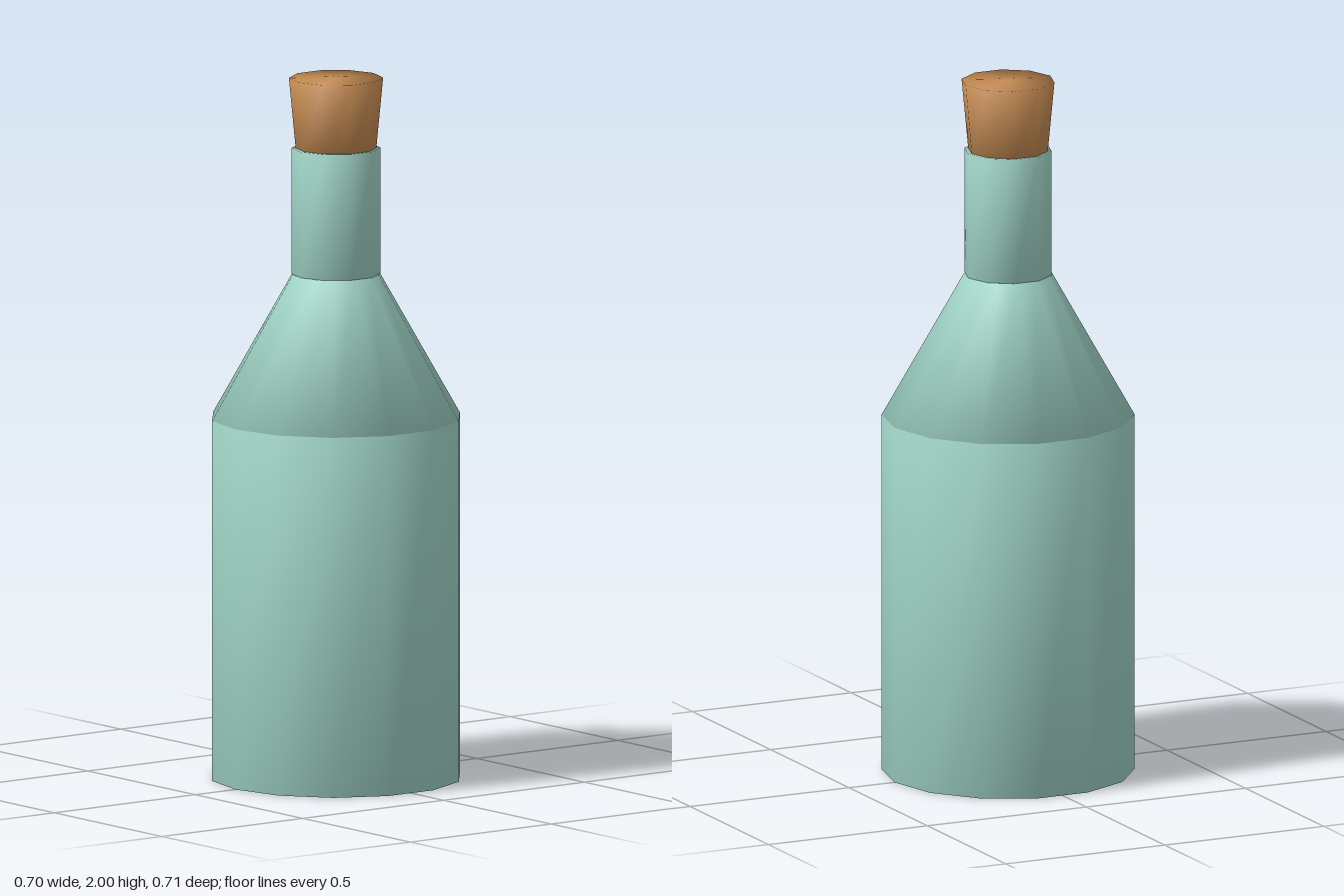
import * as THREE from 'three';
import { mergeVertices } from 'three/addons/utils/BufferGeometryUtils.js';

const glass = new THREE.MeshStandardMaterial({ color: 0xa0d4c6 });
const corkWood = new THREE.MeshStandardMaterial({ color: 0xc68c53 });

// Capped frustum between two heights, with normals smoothed across the rims
function frustum(name, bottomRadius, topRadius, y0, y1, sides, material) {
  let geometry = new THREE.CylinderGeometry(topRadius, bottomRadius, y1 - y0, sides);
  geometry.deleteAttribute('uv');
  geometry.deleteAttribute('normal');
  geometry = mergeVertices(geometry, 1e-4);
  geometry.computeVertexNormals();
  geometry.translate(0, (y0 + y1) / 2, 0);
  const mesh = new THREE.Mesh(geometry, material);
  mesh.name = name;
  return mesh;
}

export function createModel() {
  const bottle = new THREE.Group();
  bottle.name = 'bottle';
  bottle.add(
    frustum('body', 0.357, 0.357, 0, 1.03, 14, glass),
    frustum('shoulder', 0.357, 0.125, 1.03, 1.44, 14, glass),
    frustum('neck', 0.125, 0.125, 1.44, 1.8, 10, glass),
    frustum('cork', 0.114, 0.133, 1.8, 2, 10, corkWood),
  );
  return bottle;
}
